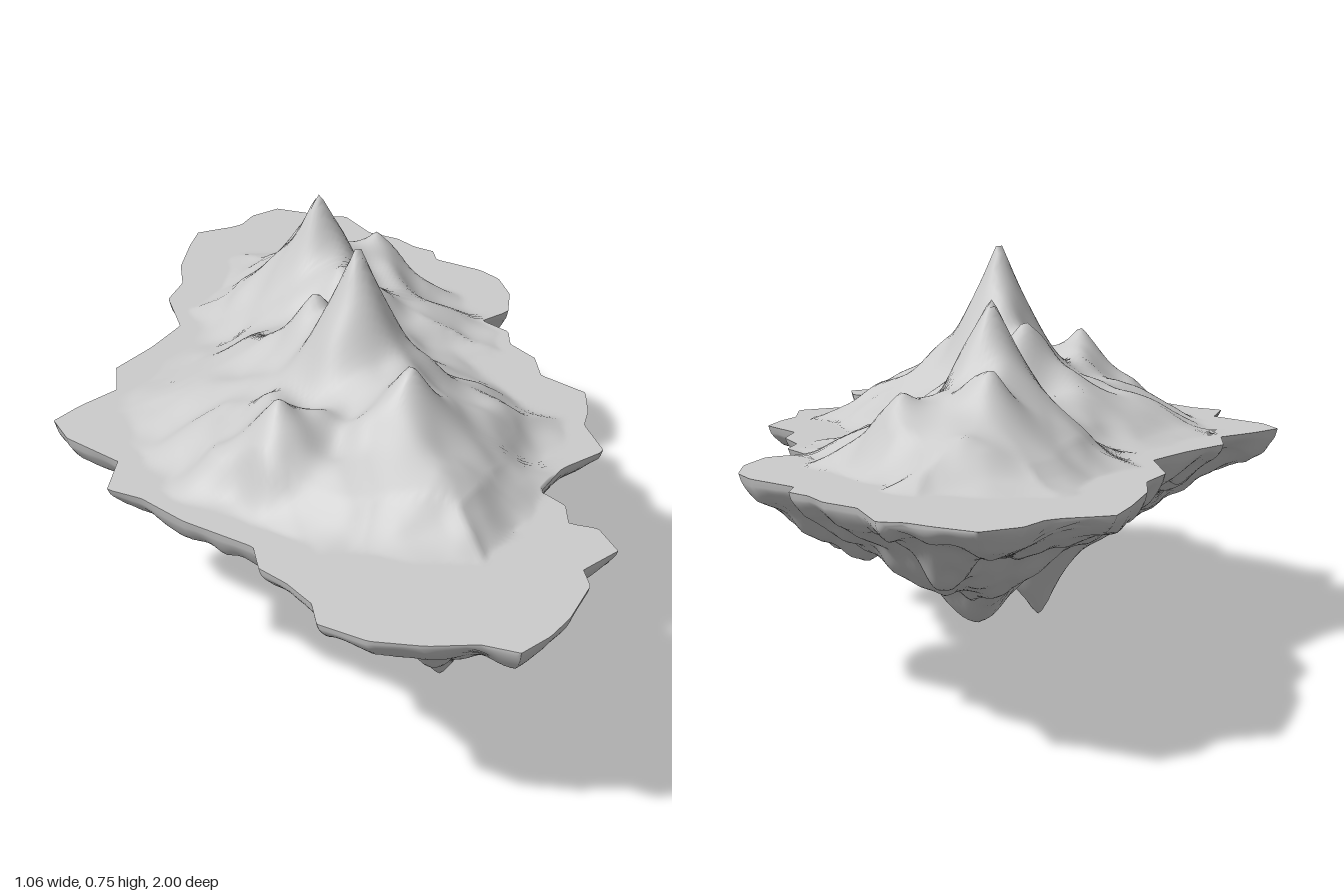
import * as THREE from 'three';

const RIM = 0.395, ROWS = 220, COLS = 96;

// island edge as x,z pairs from the back tip to the front tip, one list per side
const leftEdge = pairs([0.19, -1, 0.25, -0.95, 0.29, -0.91, 0.33, -0.9, 0.35, -0.78, 0.4, -0.72, 0.42, -0.66, 0.45, -0.62,
  0.44, -0.57, 0.51, -0.48, 0.53, -0.42, 0.52, -0.33, 0.48, -0.24, 0.41, -0.21, 0.44, -0.14, 0.42, -0.08, 0.44, 0,
  0.42, 0.08, 0.47, 0.18, 0.44, 0.26, 0.41, 0.31, 0.4, 0.42, 0.3, 0.46, 0.23, 0.53, 0.25, 0.59, 0.23, 0.65, 0.27, 0.68,
  0.27, 0.76, 0.19, 0.8, 0.18, 0.85, 0.11, 0.93, 0.06, 0.97, 0, 1]);
const rightEdge = pairs([0.19, -1, 0.12, -0.97, 0.08, -0.92, 0.04, -0.905, -0.03, -0.9, -0.07, -0.82, -0.12, -0.7,
  -0.14, -0.6, -0.19, -0.52, -0.2, -0.37, -0.28, -0.28, -0.37, -0.2, -0.39, -0.1, -0.47, -0.05, -0.53, 0, -0.52, 0.08,
  -0.45, 0.2, -0.49, 0.3, -0.44, 0.35, -0.39, 0.45, -0.3, 0.57, -0.31, 0.64, -0.28, 0.7, -0.26, 0.77, -0.27, 0.83,
  -0.21, 0.9, -0.13, 0.94, -0.05, 0.96, 0, 1]);
const islandLoop = [...leftEdge, ...rightEdge.slice(1, -1).reverse()];

// foot of the hills, inside the flat shore
const hillLoop = pairs([0.05, 0.73, -0.15, 0.64, -0.3, 0.52, -0.4, 0.3, -0.41, 0, -0.33, -0.12, -0.17, -0.28, -0.17, -0.45,
  -0.08, -0.55, 0.04, -0.72, 0.24, -0.68, 0.35, -0.52, 0.42, -0.3, 0.4, -0.05, 0.29, -0.02, 0.32, 0.15, 0.36, 0.3,
  0.29, 0.45, 0.18, 0.62]);

// x, z, height, radius: smallest first
const peaks = [
  [0.02, 0.58, 0.475, 0.09], [0.16, -0.58, 0.465, 0.08], [0.25, -0.43, 0.53, 0.07], [0.09, -0.17, 0.55, 0.06],
  [0.1, -0.455, 0.56, 0.065], [-0.2, 0.38, 0.565, 0.075], [-0.03, 0.04, 0.59, 0.08], [0.03, 0.41, 0.605, 0.085],
  [0.08, -0.3, 0.68, 0.075], [0, 0.2, 0.76, 0.09],
];
const spikes = [
  [0.2, -0.65, 0.225, 0.08], [0.2, 0.2, 0.2, 0.1], [-0.22, 0.2, 0.2, 0.1], [-0.02, 0.36, 0.15, 0.1],
  [0, 0.66, 0.145, 0.06], [0.06, -0.09, 0.13, 0.1], [0.12, -0.41, 0.12, 0.1], [-0.07, 0.13, 0, 0.1],
];

function pairs(a) {
  return Array.from({ length: a.length / 2 }, (_, i) => [a[2 * i], a[2 * i + 1]]);
}

function edgeX(edge, z) {
  let i = 1;
  while (i < edge.length - 1 && edge[i][1] < z) i++;
  const [x0, z0] = edge[i - 1], [x1, z1] = edge[i];
  return THREE.MathUtils.lerp(x0, x1, THREE.MathUtils.clamp((z - z0) / (z1 - z0), 0, 1));
}

// distance inside a closed loop, zero outside it
function depthInside(loop, x, z) {
  let best = Infinity, inside = false;
  loop.forEach(([ax, az], i) => {
    const [bx, bz] = loop[(i + 1) % loop.length];
    const dx = bx - ax, dz = bz - az;
    const t = THREE.MathUtils.clamp(((x - ax) * dx + (z - az) * dz) / (dx * dx + dz * dz), 0, 1);
    best = Math.min(best, Math.hypot(x - ax - t * dx, z - az - t * dz));
    if ((az > z) !== (bz > z) && x < ax + ((z - az) / dz) * dx) inside = !inside;
  });
  return inside ? best : 0;
}

// smooth value noise from -1 to 1
function hash(i, j) {
  const s = Math.sin(i * 127.1 + j * 311.7) * 43758.5453;
  return (s - Math.floor(s)) * 2 - 1;
}
function noise(x, z) {
  const i = Math.floor(x), j = Math.floor(z), { lerp, smoothstep } = THREE.MathUtils;
  const u = smoothstep(x - i, 0, 1), v = smoothstep(z - j, 0, 1);
  return lerp(lerp(hash(i, j), hash(i + 1, j), u), lerp(hash(i, j + 1), hash(i + 1, j + 1), u), v);
}

// pulls a value towards each pointed summit
function pullTo(points, value, x, z, sign) {
  for (const [px, pz, target, radius] of points) {
    const r = Math.hypot(x - px, z - pz) * (1 + 0.15 * noise(x * 16, z * 16));
    value += sign * Math.max(0, sign * (target - value)) * Math.exp(-Math.pow(r / radius, 1.25));
  }
  return value;
}

function topHeight(x, z) {
  const d = depthInside(hillLoop, x + 0.025 * noise(z * 14, x * 14), z + 0.025 * noise(x * 14 + 9, z * 14));
  if (d === 0) return RIM;
  const rise = THREE.MathUtils.smoothstep(d, -0.03, 0.2) - THREE.MathUtils.smoothstep(0, -0.03, 0.2);
  const base = RIM + 0.062 * rise + 0.008 * noise(x * 9, z * 9) * Math.min(1, d / 0.05);
  const fade = Math.min(1, d / 0.08);
  return base + (pullTo(peaks, base, x, z, 1) - base) * fade;
}

function bottomHeight(x, z) {
  const d = depthInside(islandLoop, x, z);
  const lip = Math.sqrt(Math.min(1, d / 0.025)) * (0.03 + 0.012 * noise(x * 18, z * 18));
  const fade = Math.min(1, d / 0.12);
  const lumps = 0.035 * noise(x * 9 + 3, z * 9) + 0.022 * noise(x * 19, z * 19 + 5) + 0.008 * noise(x * 38, z * 38);
  const base = RIM - lip - Math.min(0.16, 0.42 * d) + lumps * fade;
  return base + (pullTo(spikes, base, x, z, -1) - base) * fade;
}

// rows of cross-sections from the back tip to the front tip
function surface(name, height, up) {
  const position = [], index = [];
  for (let r = 0; r <= ROWS; r++) {
    const s = (2 * r) / ROWS - 1;
    const z = 0.6 * s + 0.4 * Math.sin((s * Math.PI) / 2);
    const x0 = edgeX(rightEdge, z), x1 = edgeX(leftEdge, z);
    for (let c = 0; c <= COLS; c++) {
      const k = (2 * c) / COLS - 1;
      const t = 0.5 + 0.5 * (0.5 * k + 0.5 * Math.sin((k * Math.PI) / 2));
      const x = x0 + (x1 - x0) * t;
      const onRim = c === 0 || c === COLS || r === 0 || r === ROWS;
      position.push(x, onRim ? RIM : height(x, z), z);
      if (r < ROWS && c < COLS) {
        const a = r * (COLS + 1) + c, b = a + 1, d = a + COLS + 1, e = d + 1;
        index.push(...(up ? [a, d, b, b, d, e] : [a, b, d, b, e, d]));
      }
    }
  }
  const geometry = new THREE.BufferGeometry();
  geometry.setAttribute('position', new THREE.Float32BufferAttribute(position, 3));
  geometry.setIndex(index);
  geometry.computeVertexNormals();
  const mesh = new THREE.Mesh(geometry, new THREE.MeshStandardMaterial({ color: 0xcccccc }));
  mesh.name = name;
  return mesh;
}

export function createModel() {
  const island = new THREE.Group();
  island.name = 'floatingIsland';
  island.add(surface('mountainTop', topHeight, true), surface('rockyUnderside', bottomHeight, false));
  return island;
}
